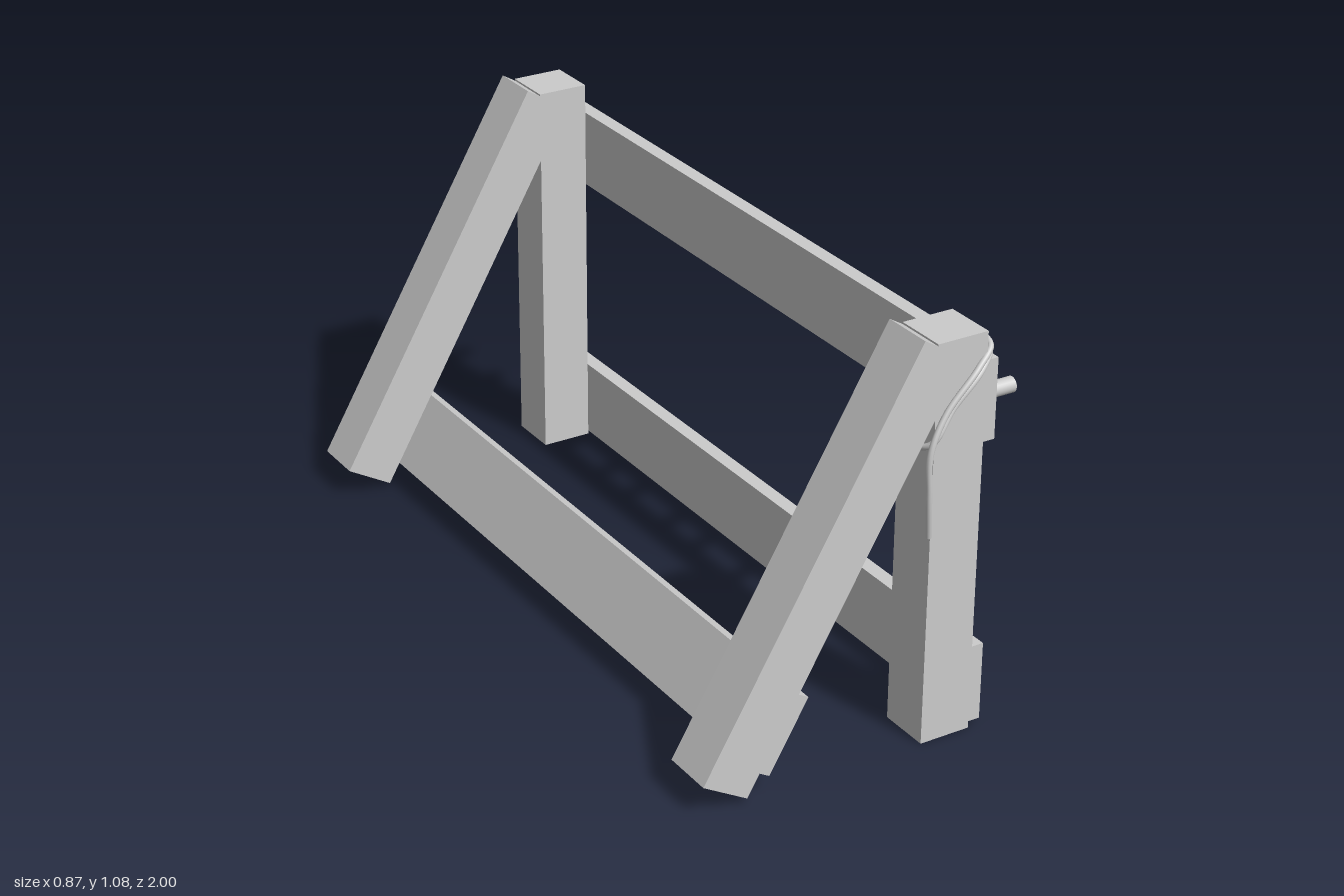
import * as THREE from 'three';

const material = new THREE.MeshStandardMaterial({ color: 0xcccccc });

export function createModel() {
  const model = new THREE.Group();

  const add = (name, geometry, x = 0, y = 0, z = 0) => {
    const mesh = new THREE.Mesh(geometry, material);
    mesh.name = name;
    mesh.position.set(x, y, z);
    model.add(mesh);
    return mesh;
  };

  // Outline in the x-y plane, extruded from z0 to z1
  const prism = (name, points, z0, z1) => {
    const shape = new THREE.Shape(points.map(([x, y]) => new THREE.Vector2(x, y)));
    return add(name, new THREE.ExtrudeGeometry(shape, { depth: z1 - z0, bevelEnabled: false }), 0, 0, z0);
  };

  // Upright posts and the leaning legs that butt against them
  const beam = 0.14;
  const legOutline = [[-0.435, 0.083], [-0.314, 0.013], [0.18, 0.869], [0.18, 1.055], [0.143, 1.077]];
  for (const [side, z] of [['front', 0.897], ['back', -0.93]]) {
    add(side + 'Post', new THREE.BoxGeometry(beam, 1.06, beam), 0.25, 0.53, z);
    prism(side + 'LeaningLeg', legOutline, z - beam / 2, z + beam / 2);
  }

  // Long planks: two on the posts, one on the inner face of the leaning legs
  const z0 = -0.988, z1 = 0.957;
  const plank = new THREE.BoxGeometry(0.04, 0.21, z1 - z0);
  const zMid = (z0 + z1) / 2;
  add('upperPlank', plank, 0.34, 0.875, zMid);
  add('lowerPlank', plank, 0.34, 0.115, zMid);
  add('legPlank', plank, -0.212, 0.148, zMid).rotation.z = -Math.PI / 6;

  // Pegs in six pairs along the upper plank
  const peg = new THREE.CylinderGeometry(0.02, 0.02, 0.105, 24).rotateZ(Math.PI / 2);
  for (let i = 0; i < 6; i++) {
    for (const offset of [0, 0.149]) {
      add('peg', peg, 0.3825, 0.875, -0.952 + i * 0.3437 + offset);
    }
  }

  // Rope wound twice around the front post, both ends hanging
  const path = [
    [0.167, 0.575, 0.98], [0.155, 0.69, 0.99], [0.155, 0.8, 0.99], [0.2, 0.885, 0.982],
    [0.29, 0.975, 0.975], [0.34, 1.015, 0.95], [0.34, 1.022, 0.88], [0.33, 1.005, 0.81],
    [0.25, 0.89, 0.79], [0.175, 0.805, 0.79], [0.155, 0.797, 0.83], [0.155, 0.8, 0.95],
    [0.17, 0.82, 0.98], [0.22, 0.89, 0.978], [0.3, 0.965, 0.973], [0.345, 1.0, 0.94],
    [0.342, 1.0, 0.85], [0.325, 0.99, 0.8], [0.305, 0.9, 0.787], [0.3, 0.7, 0.775], [0.295, 0.455, 0.77],
  ].map(p => new THREE.Vector3(...p));
  const curve = new THREE.CatmullRomCurve3(path);
  const radius = 0.008;
  add('rope', new THREE.TubeGeometry(curve, 200, radius, 10));
  for (const [t, sign] of [[0, -1], [1, 1]]) {
    const cap = add('ropeEnd', new THREE.CircleGeometry(radius, 10));
    cap.position.copy(curve.getPoint(t));
    cap.quaternion.setFromUnitVectors(new THREE.Vector3(0, 0, 1), curve.getTangent(t).multiplyScalar(sign));
  }

  return model;
}
